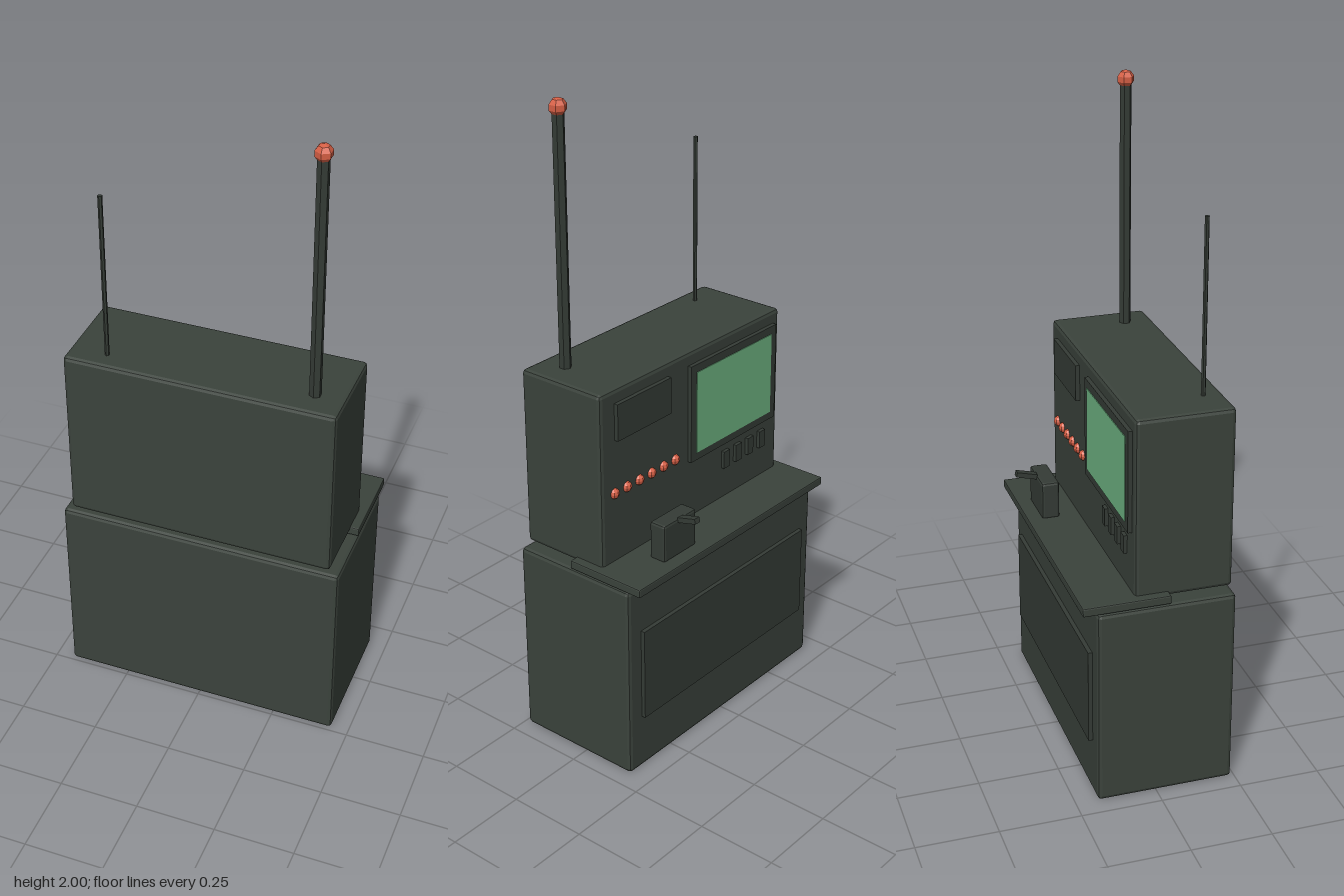
import * as THREE from 'three';
import { RoundedBoxGeometry } from 'three/addons/geometries/RoundedBoxGeometry.js';

export function createModel() {
  const root = new THREE.Group();
  const mat = (name, color) =>
    new THREE.MeshStandardMaterial({ name, color, flatShading: true });
  const body = mat('dark olive paint', 0x3b433c);
  const trim = mat('darker trim', 0x353c36);
  const red = mat('signal red', 0xd65f45);
  const green = mat('screen green', 0x6fb583);

  const add = (name, geometry, material, x, y, z) => {
    const mesh = new THREE.Mesh(geometry, material);
    mesh.name = name;
    mesh.position.set(x, y, z);
    root.add(mesh);
    return mesh;
  };

  // Box given by its limits on each axis, chamfered when a bevel is set
  const block = (name, material, [x0, x1], [y0, y1], [z0, z1], bevel = 0) => {
    const size = [x1 - x0, y1 - y0, z1 - z0];
    const geometry = bevel
      ? new RoundedBoxGeometry(...size, 1, bevel)
      : new THREE.BoxGeometry(...size);
    return add(name, geometry, material, (x0 + x1) / 2, (y0 + y1) / 2, (z0 + z1) / 2);
  };

  // Cabinets and desk shelf
  block('lowerCabinet', body, [-0.445, 0.445], [0, 0.63], [-0.182, 0.24], 0.012);
  block('upperCabinet', body, [-0.417, 0.417], [0.645, 1.207], [-0.062, 0.236], 0.012);
  block('deskShelf', body, [-0.445, 0.445], [0.633, 0.66], [-0.226, 0.04], 0.004);
  block('lowerAccessPanel', trim, [-0.39, 0.39], [0.18, 0.48], [-0.195, -0.17]);

  // Console face: display, small panel, sliders and lamps
  block('screenFrame', trim, [-0.387, 0.028], [0.85, 1.165], [-0.075, -0.05]);
  block('screen', green, [-0.362, 0.003], [0.875, 1.14], [-0.077, -0.073]);
  block('upperPanel', trim, [0.12, 0.356], [1.05, 1.165], [-0.075, -0.05]);
  for (let i = 0; i < 4; i++) {
    const x = -0.15 - i * 0.06;
    block('slider', trim, [x - 0.014, x + 0.014], [0.763, 0.82], [-0.073, -0.05]);
  }
  for (let i = 0; i < 6; i++) {
    add('lamp', new THREE.SphereGeometry(0.017, 8, 6), red, 0.088 + i * 0.0545, 0.882, -0.06);
  }

  // Desk unit with a tilted lever
  block('deskUnit', trim, [0.135, 0.281], [0.655, 0.778], [-0.181, -0.125], 0.008);
  const lever = add('lever', new THREE.BoxGeometry(0.022, 0.016, 0.066), trim, 0.208, 0.783, -0.212);
  lever.rotation.x = 0.25;

  // Antennas
  add('tallAntenna', new THREE.CylinderGeometry(0.018, 0.018, 0.77, 6), trim, 0.326, 1.58, 0.148);
  add('tallAntennaTip', new THREE.SphereGeometry(0.027, 6, 5), red, 0.326, 1.973, 0.148)
    .rotation.y = Math.PI / 6;
  add('thinAntenna', new THREE.CylinderGeometry(0.007, 0.007, 0.54, 6), trim, -0.3, 1.465, 0.177);

  return root;
}
